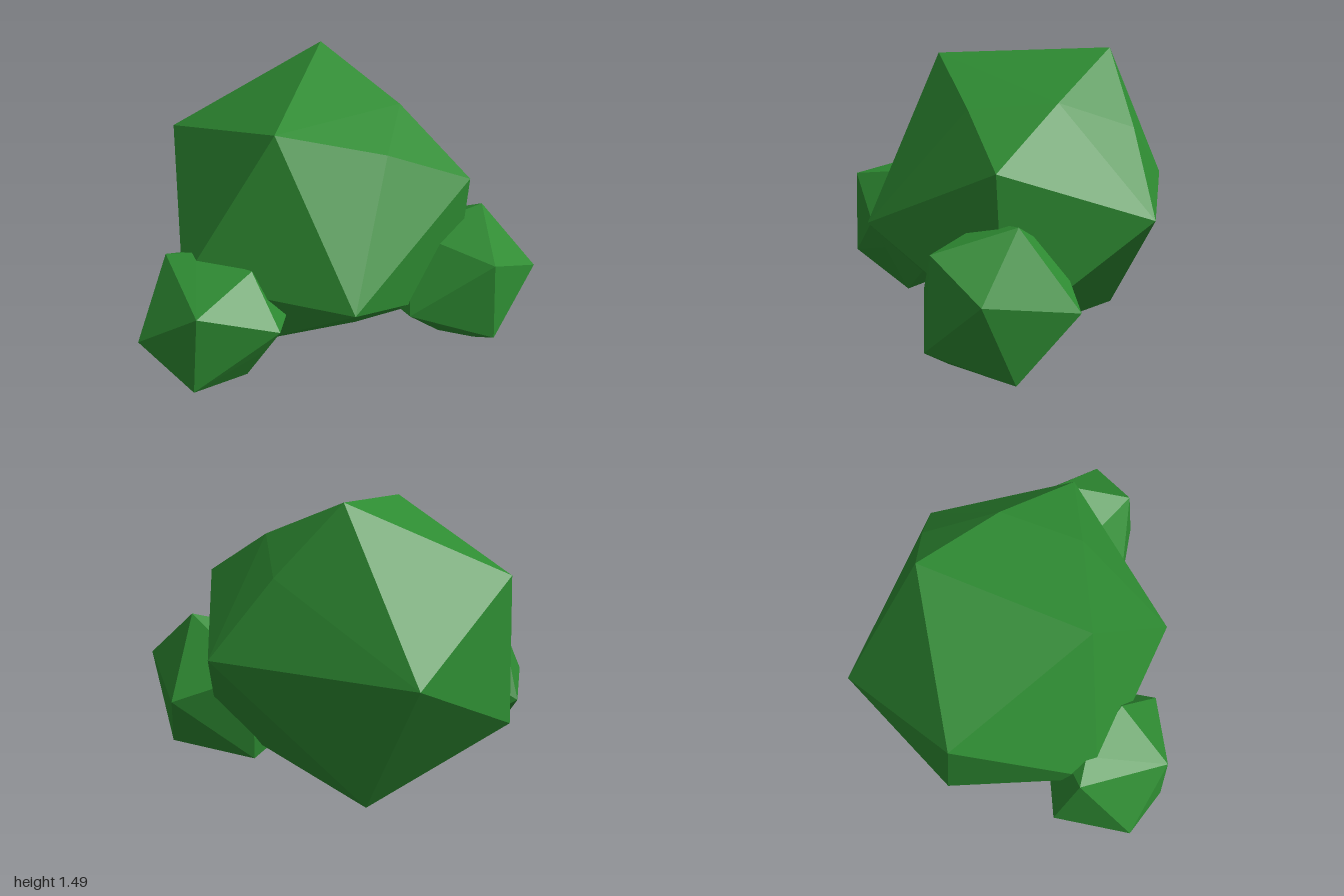
import * as THREE from 'three';
import { ConvexGeometry } from 'three/addons/geometries/ConvexGeometry.js';

const leaf = new THREE.MeshStandardMaterial({ color: 0x2e8b32, flatShading: true });

// A faceted clump: the hull of twelve uneven icosahedron corners,
// plus a few edge points that swell slightly outward.
function clump(name, corners) {
  const points = corners.map(([x, y, z]) => new THREE.Vector3(x, y, z));
  const mesh = new THREE.Mesh(new ConvexGeometry(points), leaf);
  mesh.name = name;
  return mesh;
}

export function createModel() {
  const bush = new THREE.Group();
  bush.name = 'bush';

  bush.add(clump('mainFoliage', [
    // crown
    [-0.41, 1.49, -0.48], [0.04, 1.44, 0.28], [0.59, 1.06, -0.55], [-0.79, 1.12, 0.25],
    // middle
    [-0.94, 0.72, -0.5], [-0.84, 0.4, 0.21], [-0.05, 0.77, -1], [0.59, 0.65, 0.28], [-0.22, 0.63, 0.7],
    // base
    [-0.14, 0, 0.28], [-0.54, 0.05, -0.46], [0.55, 0.25, -0.57],
    // swollen edges
    [0.35, 1.26, -0.18], [0.11, 1.3, -0.54], [-0.23, 1.15, -0.75], [0.22, 0.11, -0.13],
  ]));

  bush.add(clump('frontFoliage', [
    // top
    [0.1, 0.69, 0.87], [0.09, 0.77, 0.5], [-0.34, 0.75, 0.7], [-0.24, 0.63, 0.29],
    // middle
    [-0.23, 0.41, 1], [0.32, 0.53, 0.53], [-0.49, 0.34, 0.68], [0.07, 0.43, 0.2],
    // base
    [0.08, 0.21, 0.91], [-0.26, 0.09, 0.77], [0.05, 0.05, 0.53], [-0.26, 0.15, 0.33],
    // swollen edges
    [0.22, 0.35, 0.54], [-0.22, 0.77, 0.6],
  ]));

  bush.add(clump('sideFoliage', [
    // top
    [0.59, 0.84, -0.68], [0.89, 0.735, -0.42], [0.4, 0.74, -0.33], [0.16, 0.58, -0.6],
    // middle
    [0.92, 0.58, -0.74], [0.61, 0.41, -0.12], [0.43, 0.44, -0.92], [0.18, 0.28, -0.28],
    // base
    [0.94, 0.28, -0.42], [0.7, 0.13, -0.76], [0.55, 0.05, -0.46], [0.2, 0.12, -0.58],
    // swollen edge
    [0.8, 0.18, -0.44],
  ]));

  return bush;
}
